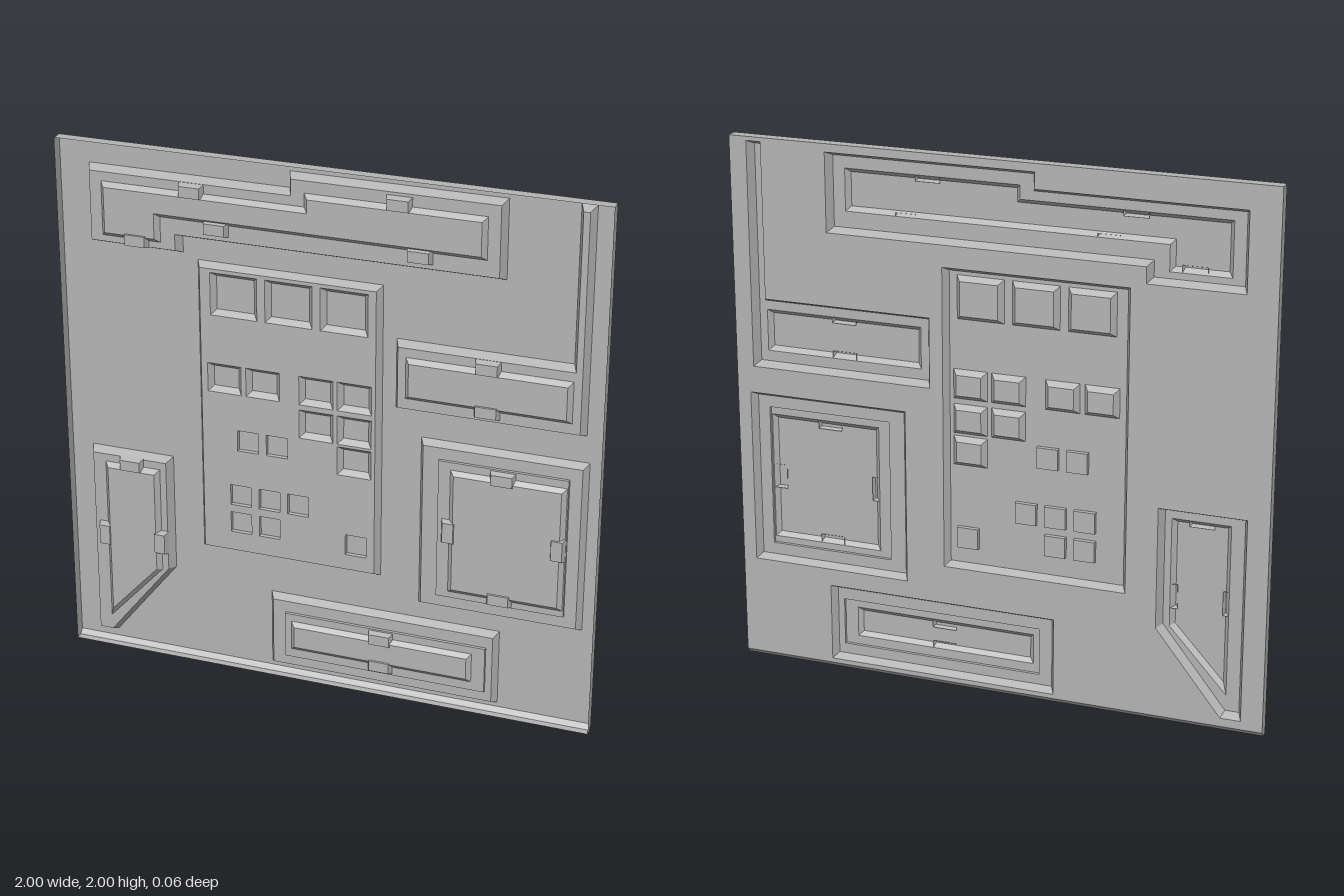
import * as THREE from 'three';
import { mergeGeometries } from 'three/addons/utils/BufferGeometryUtils.js';

const gray = new THREE.MeshStandardMaterial({ color: 0xb4b4b4, side: THREE.DoubleSide });
gray.name = 'panel gray';

const BACK = -0.03, RIM = 0.013;

// Counter-clockwise rectangle from its limits
const rect = (x0, x1, y0, y1) => [[x0, y0], [x1, y0], [x1, y1], [x0, y1]];

// Mitred inset of a counter-clockwise outline
function inset(pts, d) {
  const n = pts.length;
  const normal = (a, b) => {
    const l = Math.hypot(b[0] - a[0], b[1] - a[1]);
    return [-(b[1] - a[1]) / l, (b[0] - a[0]) / l];
  };
  return pts.map((p, i) => {
    const u = normal(pts[(i + n - 1) % n], p), v = normal(p, pts[(i + 1) % n]);
    const k = d / (1 + u[0] * v[0] + u[1] * v[1]);
    return [p[0] + (u[0] + v[0]) * k, p[1] + (u[1] + v[1]) * k];
  });
}

// Flat face with holes at height z
function capGeometry(pts, holes, z) {
  const vec = (list) => list.map((p) => new THREE.Vector2(p[0], p[1]));
  const shape = new THREE.Shape(vec(pts));
  shape.holes = holes.map((h) => new THREE.Path(vec(h)));
  const g = new THREE.ShapeGeometry(shape).toNonIndexed();
  g.deleteAttribute('uv');
  return g.translate(0, 0, z);
}

// Sloped band joining two matching outlines
function wallGeometry(lower, z0, upper, z1) {
  const pos = [];
  lower.forEach((a, i) => {
    const j = (i + 1) % lower.length, b = lower[j], c = upper[j], d = upper[i];
    pos.push(...a, z0, ...b, z0, ...c, z1, ...a, z0, ...c, z1, ...d, z1);
  });
  const g = new THREE.BufferGeometry();
  g.setAttribute('position', new THREE.Float32BufferAttribute(pos, 3));
  g.computeVertexNormals();
  return g;
}

function addMesh(parent, name, geometry) {
  const m = new THREE.Mesh(geometry, gray);
  m.name = name;
  parent.add(m);
}

// Bevelled step, raised or sunk, with openings for the next steps
function addStep(parent, name, pts, bevel, z0, z1, holes = []) {
  const top = inset(pts, bevel);
  addMesh(parent, name, mergeGeometries([wallGeometry(pts, z0, top, z1), capGeometry(top, holes, z1)]));
}

// Hatches: outer outline, optional middle step, inner raised plate, clips [x, y, upright]
const hatches = [
  {
    name: 'upperHatch',
    outer: [[-0.89, 1.62], [-0.54, 1.62], [-0.54, 1.68], [0.635, 1.68], [0.635, 1.97], [-0.14, 1.97], [-0.14, 1.91], [-0.89, 1.91]],
    inner: [[-0.83, 1.66], [-0.61, 1.66], [-0.61, 1.755], [0.575, 1.755], [0.575, 1.91], [-0.075, 1.91], [-0.075, 1.86], [-0.83, 1.86]],
    clips: [[-0.49, 1.865], [0.265, 1.915], [-0.4, 1.74], [0.34, 1.74], [-0.7, 1.66]],
  },
  {
    name: 'conduitHatch',
    outer: [[0.25, 1.15], [0.935, 1.15], [0.935, 1.985], [0.88, 1.985], [0.88, 1.41], [0.25, 1.41]],
    inner: rect(0.295, 0.89, 1.205, 1.36),
    clips: [[0.59, 1.365], [0.59, 1.205]],
  },
  {
    name: 'squareHatch',
    outer: rect(0.345, 0.95, 0.395, 1.05),
    middle: rect(0.42, 0.89, 0.455, 0.99),
    inner: rect(0.465, 0.885, 0.48, 0.96),
    clips: [[0.655, 0.955], [0.655, 0.485], [0.465, 0.72, true], [0.86, 0.72, true]],
  },
  {
    name: 'lowerHatch',
    outer: rect(-0.22, 0.65, 0.035, 0.33),
    middle: rect(-0.155, 0.61, 0.09, 0.27),
    inner: rect(-0.13, 0.56, 0.125, 0.24),
    clips: [[0.215, 0.235], [0.215, 0.125]],
  },
  {
    name: 'slantedHatch',
    outer: [[-0.92, 0.05], [-0.845, 0.05], [-0.6, 0.36], [-0.6, 0.815], [-0.92, 0.815]],
    inner: [[-0.855, 0.125], [-0.64, 0.36], [-0.64, 0.77], [-0.855, 0.77]],
    clips: [[-0.75, 0.775], [-0.86, 0.475, true], [-0.64, 0.475, true]],
  },
];

function addHatch(parent, { name, outer, middle, inner, clips }) {
  const g = new THREE.Group();
  g.name = name;
  const ring = middle ? 0 : 0.006, seat = middle ? 0.01 : ring;
  addStep(g, 'frame', outer, 0.016, BACK, ring, [middle || inner]);
  if (middle) addStep(g, 'middleStep', middle, 0.001, ring, seat, [inner]);
  addStep(g, 'innerPlate', inner, 0.016, seat, 0.025);
  for (const [x, y, upright] of clips) {
    const w = upright ? 0.028 : 0.046, h = upright ? 0.046 : 0.028;
    addStep(g, 'clip', rect(x - w, x + w, y - h, y + h), 0.008, seat, 0.03);
  }
  parent.add(g);
}

// Central plate with bevelled wells and small square sockets
function addCentralPlate(parent, outline) {
  const g = new THREE.Group();
  g.name = 'centralPlate';
  const wells = [-0.43, -0.225, -0.02].map((x) => rect(x, x + 0.175, 1.41, 1.57));
  for (const [x, y] of [[-0.445, 1.115], [-0.3, 1.115], [-0.1, 1.115], [0.043, 1.115], [-0.1, 0.985], [0.043, 0.985], [0.043, 0.865]])
    wells.push(rect(x, x + 0.127, y, y + 0.11));
  const sockets = [[-0.335, 0.895], [-0.225, 0.895], [-0.365, 0.675], [-0.255, 0.675], [-0.145, 0.675],
    [-0.365, 0.565], [-0.255, 0.565], [0.075, 0.55]].map(([x, y]) => rect(x, x + 0.08, y, y + 0.08));
  addStep(g, 'plate', outline, 0.016, BACK, 0, [...wells, ...sockets]);
  wells.forEach((w) => addStep(g, 'well', w, 0.017, 0, -0.022));
  sockets.forEach((s) => addStep(g, 'socket', s, 0.001, 0, -0.015));
  parent.add(g);
}

export function createModel() {
  const model = new THREE.Group();
  model.name = 'wallPanel';
  const plate = rect(-0.485, 0.2, 0.475, 1.6);

  // Back sheet, open where the raised parts begin
  addMesh(model, 'backSheet', capGeometry(rect(-1, 1, 0.018, 2), [plate, ...hatches.map((h) => h.outer)], BACK));

  // Thin rim around the sheet, with its lower back edge sloped
  const sheet = rect(-1, 1, 0.018, 2), full = rect(-1, 1, 0, 2);
  addMesh(model, 'rim', mergeGeometries([
    wallGeometry(sheet, BACK, full, -0.015),
    wallGeometry(full, -0.015, full, RIM),
  ]));

  addCentralPlate(model, plate);
  hatches.forEach((h) => addHatch(model, h));
  return model;
}
